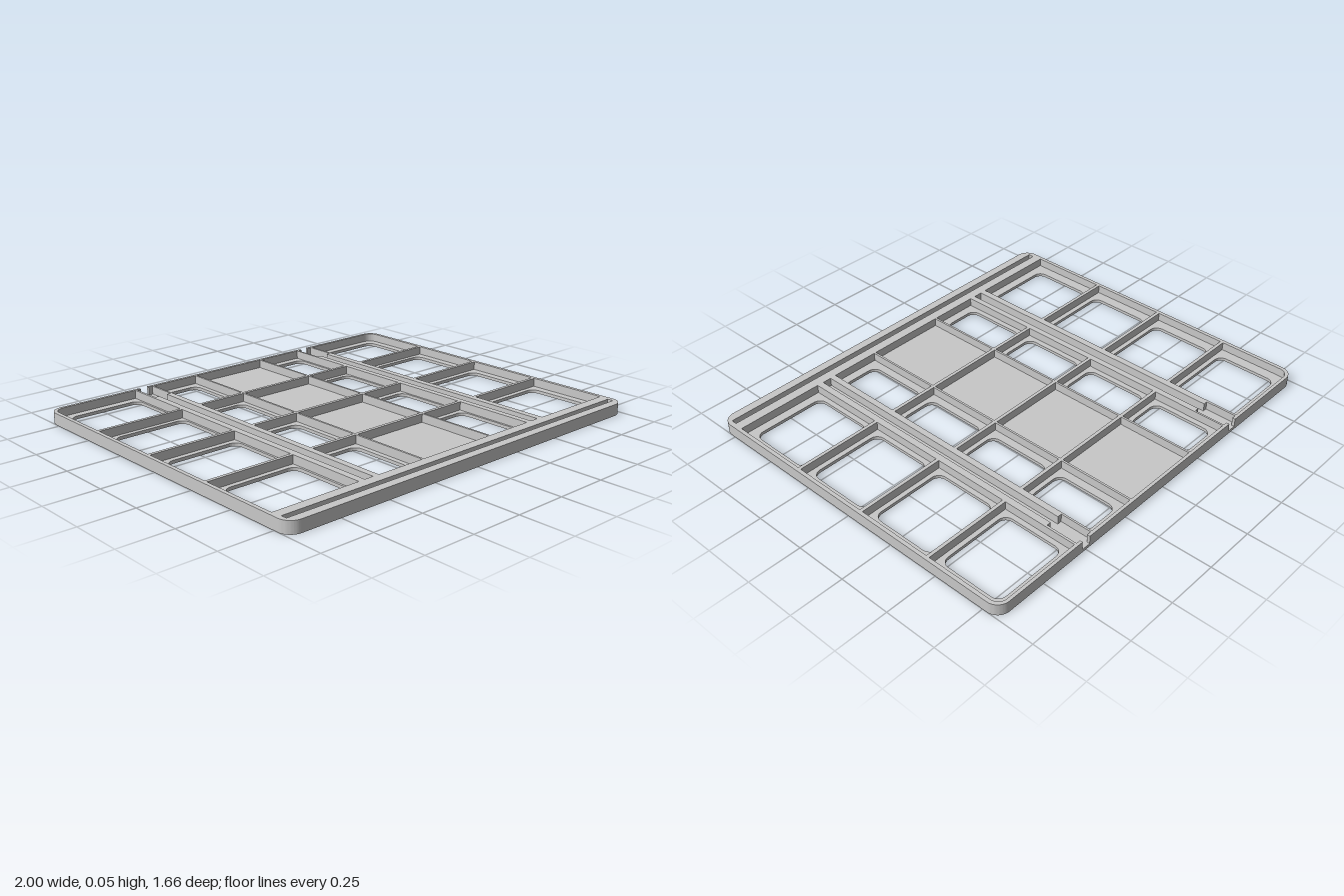
import * as THREE from 'three';
import { toCreasedNormals } from 'three/addons/utils/BufferGeometryUtils.js';

const HEIGHT = 0.055, FLOOR = 0.015;
const BACK = -0.832, FRONT = 0.832;

// Traces a rectangle in plan (x, z), counter-clockwise seen from above.
// Radii are [front left, front right, back right, back left], left meaning low x.
function plate(path, x0, x1, z0, z1, [a, b, c, d], notch) {
  const arc = (cx, cz, r, start) => {
    if (r > 0) path.absarc(cx, -cz, r, start, start + Math.PI / 2, false);
    else path.lineTo(cx, -cz);
  };
  path.moveTo(x0, -(z1 - a));
  arc(x0 + a, z1 - a, a, Math.PI);
  arc(x1 - b, z1 - b, b, -Math.PI / 2);
  arc(x1 - c, z0 + c, c, 0);
  if (notch) notch(path);
  arc(x0 + d, z0 + d, d, Math.PI / 2);
  path.closePath();
  return path;
}

// Stepped rail channels opening through the back rim
function railChannels(path) {
  const half = [
    [0.022, BACK], [0.022, -0.818], [0.043, -0.818], [0.043, -0.667],
    [0.022, -0.667], [0.022, 0.715],
  ];
  const profile = [...half, ...half.slice().reverse().map(([x, z]) => [-x, z])];
  for (const cx of [0.5, -0.5]) {
    for (const [x, z] of profile) path.lineTo(cx + x, -z);
  }
}

function extrude(shape, depth, y) {
  const geometry = new THREE.ExtrudeGeometry(shape, { depth, bevelEnabled: false, curveSegments: 10 });
  geometry.rotateX(-Math.PI / 2);
  geometry.translate(0, y, 0);
  return toCreasedNormals(geometry, 0.6);
}

export function createModel() {
  const group = new THREE.Group();
  group.name = 'dividedTray';
  const grey = new THREE.MeshStandardMaterial({ color: 0xc8c8c8 });
  grey.name = 'grey plastic';

  const corners = [0.06, 0.06, 0.06, 0.06];
  const square = [0, 0, 0, 0];
  const rounded = [0.04, 0.04, 0.04, 0.04];
  const floor = plate(new THREE.Shape(), -1, 1, BACK, FRONT, corners);
  const walls = plate(new THREE.Shape(), -1, 1, BACK, FRONT, corners, railChannels);

  // Front slot runs through the floor and the walls
  for (const shape of [floor, walls]) {
    shape.holes.push(plate(new THREE.Path(), -0.976, 0.976, 0.763, 0.791, square));
  }

  // Rounded windows in the floor
  const windowRows = [[-0.78, -0.475], [-0.415, -0.093], [-0.03, 0.29], [0.353, 0.673]];
  const windowColumns = [[-0.929, -0.564], [-0.421, -0.231], [0.246, 0.437], [0.579, 0.943]];
  for (const [z0, z1] of windowRows) {
    for (const [x0, x1] of windowColumns) {
      floor.holes.push(plate(new THREE.Path(), x0, x1, z0, z1, rounded));
    }
  }

  // Compartments between the dividers
  const cellRows = [[-0.817, -0.453], [-0.437, -0.071], [-0.055, 0.314], [0.33, 0.716]];
  const cellColumns = [[-0.982, -0.554], [-0.448, -0.207], [-0.197, 0.197], [0.207, 0.448], [0.554, 0.982]];
  cellRows.forEach(([z0, z1], row) => {
    cellColumns.forEach(([x0, x1], column) => {
      const radii = [
        0, 0,
        row === 0 && column === 4 ? 0.045 : 0,
        row === 0 && column === 0 ? 0.045 : 0,
      ];
      walls.holes.push(plate(new THREE.Path(), x0, x1, z0, z1, radii));
    });
  });

  const floorMesh = new THREE.Mesh(extrude(floor, FLOOR, 0), grey);
  floorMesh.name = 'floor';
  const wallMesh = new THREE.Mesh(extrude(walls, HEIGHT - FLOOR, FLOOR), grey);
  wallMesh.name = 'rimAndDividers';
  group.add(floorMesh, wallMesh);
  return group;
}
